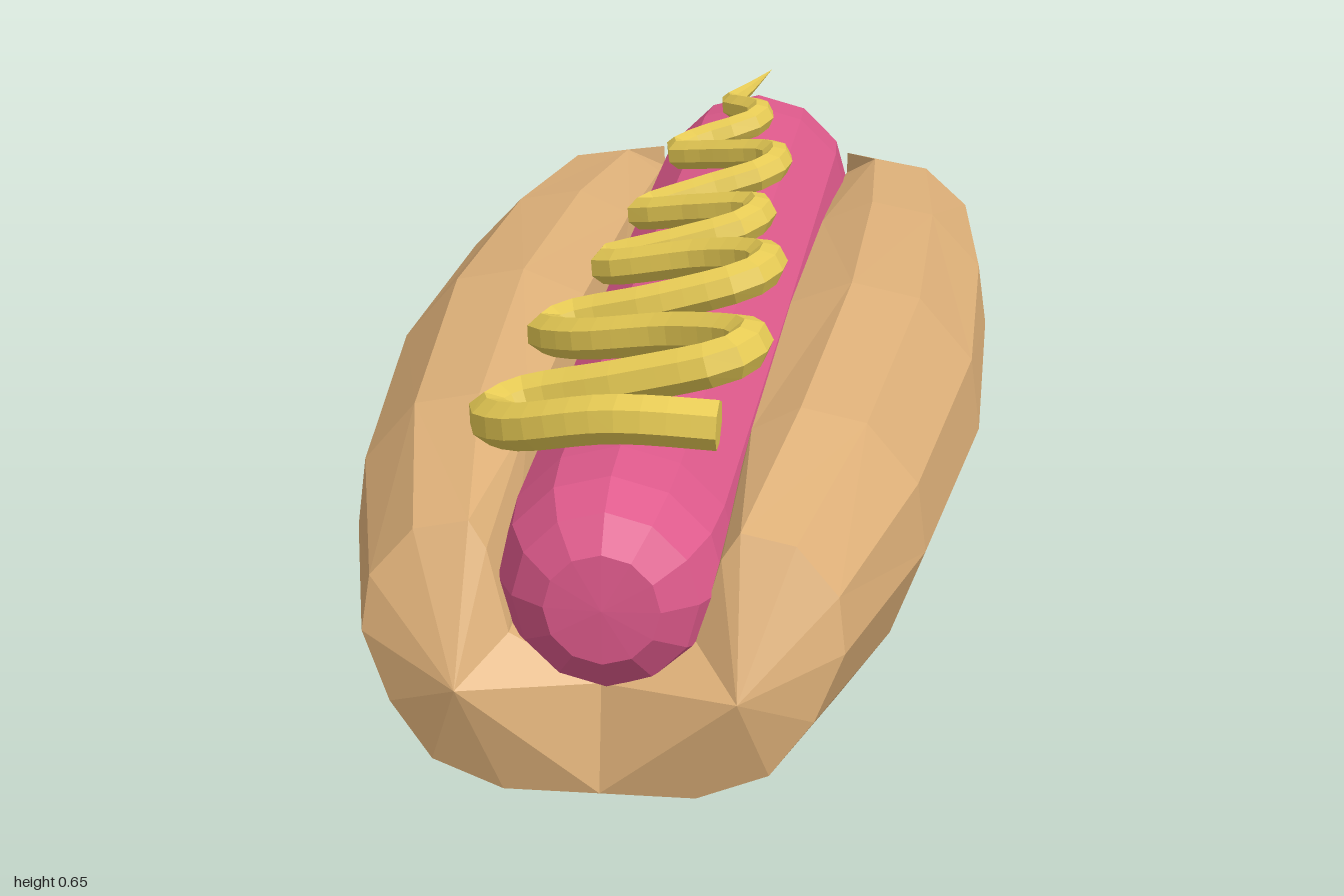
import * as THREE from 'three';

const mat = (color) => new THREE.MeshStandardMaterial({ color, flatShading: true });

// Height of the sausage axis: it dips slightly towards the back
const axisY = (z) => 0.37 + 0.035 * z;

function part(name, geometry, color) {
  geometry.computeVertexNormals();
  const mesh = new THREE.Mesh(geometry, mat(color));
  mesh.name = name;
  return mesh;
}

// Bun: faceted loft with a groove on top and a cleft underneath
function bunGeometry() {
  // z, half width, bottom, top, cleft height, z lean of the upper edge
  const sections = [
    [-0.94, 0.27, 0.11, 0.385, 0.13, 0.02],
    [-0.85, 0.36, 0.07, 0.40, 0.12, 0],
    [-0.48, 0.405, 0.012, 0.455, 0.08, 0],
    [0.02, 0.425, 0, 0.505, 0.035, 0],
    [0.55, 0.385, 0.055, 0.52, 0.11, 0],
    [0.96, 0.31, 0.14, 0.485, 0.14, -0.06],
  ];
  // Outer half outline: fraction of half width, fraction of height
  const outline = [[0.4, 0], [0.7, 0.1], [0.88, 0.31], [1, 0.57], [0.97, 0.78], [0.79, 0.96], [0.56, 1]];

  const pos = [], index = [];
  const rings = sections.map(([z, w, bottom, top, cleft, lean]) => {
    const h = top - bottom, cy = axisY(z);
    const half = [
      ...outline.map(([u, v]) => [u * w, bottom + v * h]),
      [0.15, top - 0.035], [0.12, cy - 0.06],
    ];
    const loop = [[0, cleft], ...half, [0, cy - 0.12],
      ...half.slice().reverse().map(([x, y]) => [-x, y])];
    return loop.map(([x, y]) => {
      pos.push(x, y, z + lean * (y - bottom) / h);
      return pos.length / 3 - 1;
    });
  });

  const n = rings[0].length, trough = n / 2;
  for (let s = 0; s < rings.length - 1; s++) {
    for (let j = 0; j < n; j++) {
      const k = (j + 1) % n;
      const a = rings[s][j], b = rings[s][k], c = rings[s + 1][k], d = rings[s + 1][j];
      if ((s + j) % 2) index.push(a, b, d, b, c, d);
      else index.push(a, b, c, a, c, d);
    }
  }

  // Bulging ends, one fan for each half
  const cap = (ring, x, y, z, front) => {
    for (const side of [1, -1]) {
      const centre = pos.length / 3;
      pos.push(side * x, y, z);
      const start = side > 0 ? 0 : trough;
      for (let i = 0; i <= trough; i++) {
        const a = ring[(start + i) % n];
        const b = ring[i === trough ? start : (start + i + 1) % n];
        if (front) index.push(centre, a, b);
        else index.push(centre, b, a);
      }
    }
  };
  cap(rings[0], 0.18, 0.24, -0.965, false);
  cap(rings[rings.length - 1], 0.18, 0.29, 0.995, true);

  const g = new THREE.BufferGeometry();
  g.setAttribute('position', new THREE.Float32BufferAttribute(pos, 3));
  g.setIndex(index);
  return g;
}

// Sausage: lathe laid along z and sheared along its axis
function sausageGeometry() {
  const end = [[0, 0.99], [0.075, 0.985], [0.12, 0.95], [0.147, 0.89], [0.155, 0.8]];
  const profile = [
    ...end.map(([r, z]) => new THREE.Vector2(r, -z)),
    new THREE.Vector2(0.157, 0),
    ...end.slice().reverse().map(([r, z]) => new THREE.Vector2(r, z)),
  ];
  const g = new THREE.LatheGeometry(profile, 12);
  g.rotateX(Math.PI / 2);
  g.translate(0.007, 0, -0.008);
  const p = g.attributes.position;
  for (let i = 0; i < p.count; i++) p.setY(i, p.getY(i) + axisY(p.getZ(i)));
  return g;
}

// Sauce: a tapering zigzag, higher on the +x turns
function sauceGeometry() {
  const path = [
    [0.165, 0.79], [0, 0.78], [-0.14, 0.72], [-0.185, 0.65], [-0.15, 0.61], [0, 0.63], [0.13, 0.63],
    [0.15, 0.57], [0.05, 0.47], [-0.1, 0.39], [-0.16, 0.32], [-0.13, 0.29], [0, 0.30], [0.12, 0.28],
    [0.135, 0.21], [0.05, 0.13], [-0.1, 0.07], [-0.12, 0.04], [0, 0.03], [0.08, 0.01], [0.095, -0.06],
    [0, -0.13], [-0.095, -0.19], [0, -0.23], [0.085, -0.26], [0.09, -0.34], [0, -0.42], [-0.08, -0.49],
    [-0.05, -0.53], [0.03, -0.56], [0.04, -0.61], [-0.02, -0.72], [0, -0.78], [0.03, -0.88],
  ];
  const curve = new THREE.CatmullRomCurve3(path.map(([x, z]) =>
    new THREE.Vector3(x, 0.558 + 0.035 * z + (z > 0.75 ? 0 : 0.28 * x), z)));
  const steps = 110, sides = 7, r0 = 0.034;
  const g = new THREE.TubeGeometry(curve, steps, r0, sides, false);
  const p = g.attributes.position, v = new THREE.Vector3();
  for (let i = 0; i <= steps; i++) {
    const t = i / steps;
    const centre = curve.getPointAt(t);
    // First ring collapses into the second to close the blunt end
    const target = i === 0 ? curve.getPointAt(1 / steps) : centre;
    const scale = i === 0 ? 0 : (1 - 0.4 * t) * Math.min(1, (1 - t) / 0.06);
    for (let j = 0; j <= sides; j++) {
      const k = i * (sides + 1) + j;
      v.fromBufferAttribute(p, k).sub(centre).multiplyScalar(scale).add(target);
      p.setXYZ(k, v.x, v.y, v.z);
    }
  }
  return g;
}

export function createModel() {
  const group = new THREE.Group();
  group.name = 'hotDog';
  group.add(
    part('bun', bunGeometry(), 0xe0b27a),
    part('sausage', sausageGeometry(), 0xdf5a8c),
    part('sauce', sauceGeometry(), 0xe8cc55),
  );
  return group;
}
